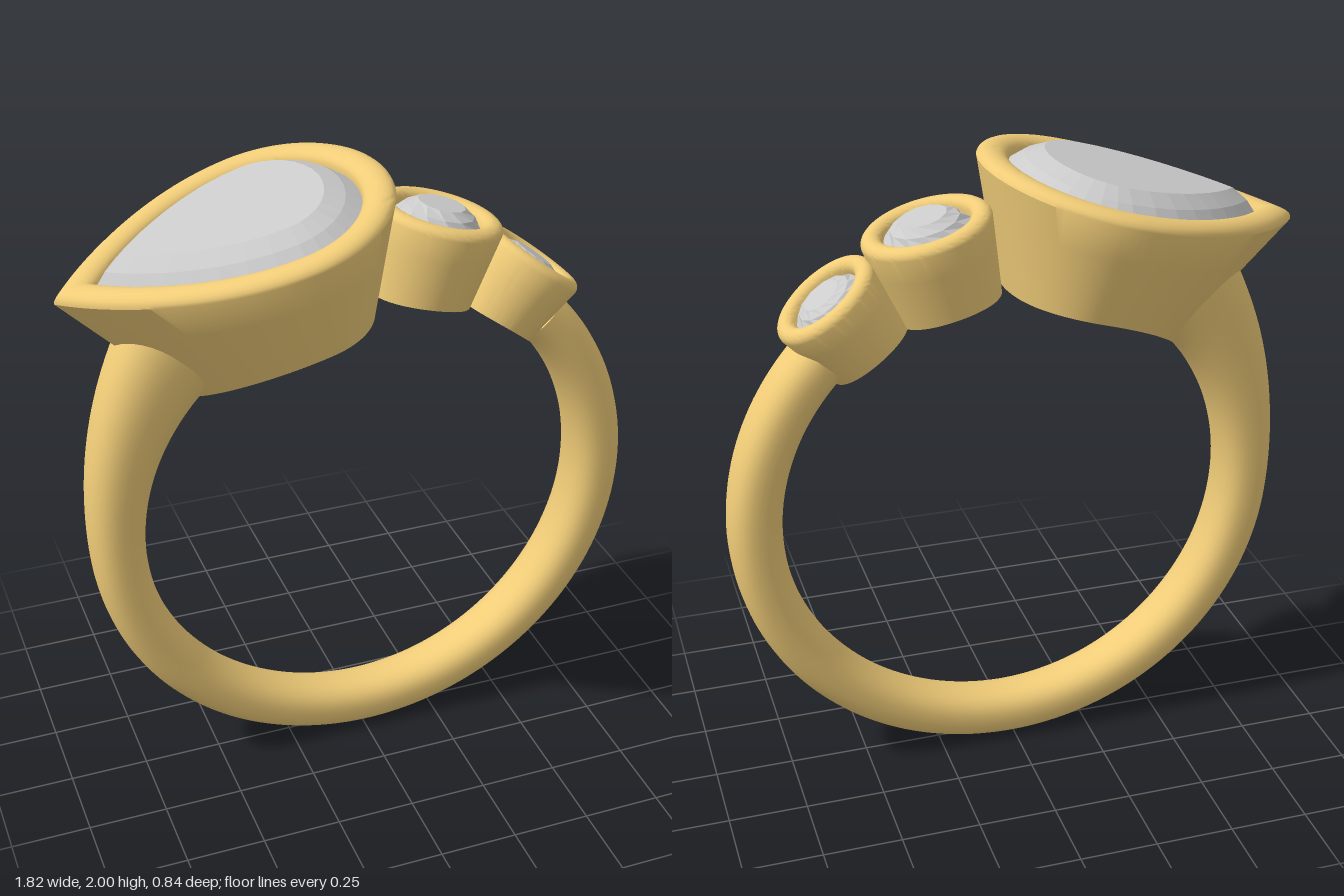
import * as THREE from 'three';
import { toCreasedNormals } from 'three/addons/utils/BufferGeometryUtils.js';

const gold = new THREE.MeshStandardMaterial({ color: 0xf0cc78 });
const stone = new THREE.MeshStandardMaterial({ color: 0xcccccc, flatShading: true });
const CX = 0.015, CY = 0.885, R = 0.72; // finger hole
const rad = THREE.MathUtils.degToRad;

// Skin rows of points; columns always wrap, rows wrap when closed
function skin(rows, closed) {
  const pos = [], m = rows.length, n = rows[0].length;
  const tri = (a, b, c) => {
    if (new THREE.Triangle(a, b, c).getArea() > 1e-9) pos.push(...a.toArray(), ...b.toArray(), ...c.toArray());
  };
  for (let i = 0; i < (closed ? m : m - 1); i++) {
    const lo = rows[i], hi = rows[(i + 1) % m];
    for (let j = 0; j < n; j++) {
      const k = (j + 1) % n;
      tri(lo[j], hi[j], hi[k]);
      tri(lo[j], hi[k], lo[k]);
    }
  }
  const g = new THREE.BufferGeometry();
  g.setAttribute('position', new THREE.Float32BufferAttribute(pos, 3));
  g.computeVertexNormals();
  return g;
}

// Outlines: t runs 0..1; size = [tip reach, round end reach, half width]
function round(t, [, r]) {
  return [r * Math.cos(2 * Math.PI * t), r * Math.sin(2 * Math.PI * t)];
}
function pear(t, size) {
  if (t > 0.5) {
    const [u, z] = pear(1 - t, size);
    return [u, -z];
  }
  const [a, b, w] = size;
  if (t <= 0.25) return [b * Math.cos(2 * Math.PI * t), w * Math.sin(2 * Math.PI * t)];
  const s = (t - 0.25) * 4, q = 1 - s;
  return [
    -a * (1.2 * q * q * s + 2.4 * q * s * s + s * s * s),
    w * (q * q * q + 3 * q * q * s + 1.35 * q * s * s),
  ];
}

// Tilted local frame: u along the setting's face, v out of it
function frame(ox, oy, tilt) {
  const c = Math.cos(tilt), s = Math.sin(tilt);
  return (u, v, z) => new THREE.Vector3(ox + u * c - v * s, oy + u * s + v * c, z);
}

// Hollow tapered cup, trimmed underneath by the finger hole
function bezel({ outline, at, outer, inner, taper, innerTaper, rim }) {
  const N = 96, rows = [];
  const row = f => Array.from({ length: N }, (_, j) => f(j / N));
  const wall = (size, tap, frac) => row(t => {
    const p = d => {
      const [u, z] = outline(t, size.map((s, i) => s - tap[i] * d));
      return at(u, -d, z);
    };
    let lo = 0, hi = 0.6;
    for (let i = 0; i < 30; i++) {
      const mid = (lo + hi) / 2, q = p(mid);
      if (Math.hypot(q.x - CX, q.y - CY) > R) lo = mid; else hi = mid;
    }
    return p(lo * frac);
  });
  for (const f of [1, 0.66, 0.33]) rows.push(wall(outer, taper, f));
  for (let k = 0; k <= 10; k++) {
    const f = (1 - Math.cos(Math.PI * k / 10)) / 2, v = rim * Math.sin(Math.PI * k / 10);
    rows.push(row(t => {
      const [u, z] = outline(t, outer.map((s, i) => s + (inner[i] - s) * f));
      return at(u, v, z);
    }));
  }
  for (const f of [0.33, 0.66, 1]) rows.push(wall(inner, innerTaper, f));
  return toCreasedNormals(skin(rows, true), 0.6);
}

// Faceted stone: layers of [scale sizes, height, column shift], culet to table
function gem(outline, at, n, layers) {
  return skin(layers.map(([size, v, shift = 0]) =>
    Array.from({ length: n }, (_, j) => {
      const [u, z] = outline((j + shift) / n % 1, size);
      return at(u, v, z);
    })), false);
}

// Rounded band, thickening towards the large setting
function band() {
  const rows = [], N = 32, M = 140;
  const section = (deg, k) => {
    const th = rad(deg), t = Math.max(0, (-175 - deg) / 46);
    const low = Math.max(0, -Math.sin(th));
    const h = (0.168 - 0.008 * low + 0.13 * t ** 1.9) / 2;
    const w = 0.105 - 0.016 * low * low + 0.025 * t * t;
    const se = x => Math.sign(x) * Math.abs(x) ** 0.82;
    return Array.from({ length: N }, (_, j) => {
      const c = 2 * Math.PI * j / N;
      const r = R + h + k * h * se(Math.cos(c));
      return new THREE.Vector3(CX + r * Math.cos(th), CY + r * Math.sin(th), -k * w * se(Math.sin(c)));
    });
  };
  rows.push(section(44.5, 0));
  for (let i = 0; i <= M; i++) rows.push(section(44.5 - 274.5 * i / M, 1));
  rows.push(section(-230, 0));
  return toCreasedNormals(skin(rows, false), 0.7);
}

export function createModel() {
  const model = new THREE.Group();
  const add = (name, geometry, material) => {
    const mesh = new THREE.Mesh(geometry, material);
    mesh.name = name;
    model.add(mesh);
  };
  add('band', band(), gold);

  // Large pear setting
  const at = frame(-0.27, 1.89, rad(15));
  add('pearBezel', bezel({
    outline: pear, at, outer: [0.665, 0.364, 0.42], inner: [0.54, 0.265, 0.325],
    taper: [0.59, 0.44, 0.34], innerTaper: [0.59, 0.42, 0.36], rim: 0.032,
  }), gold);
  add('pearStone', gem(pear, at, 32, [
    [[0, 0, 0], -0.3],
    [[0.3, 0.14, 0.18], -0.17],
    [[0.55, 0.272, 0.332], -0.03],
    [[0.55, 0.272, 0.332], -0.01],
    [[0.5, 0.225, 0.285], 0.035],
    [[0.44, 0.17, 0.23], 0.066],
    [[0, 0, 0], 0.066],
  ]), stone);

  // Two round settings stepping down the shoulder: angle, height, radius, opening, table height
  [[14.5, 0.952, 0.2, 0.135, 0.045], [36.7, 0.915, 0.175, 0.115, 0.025]].forEach(([deg, d, r, hole, top], i) => {
    const a = rad(deg), place = frame(CX + d * Math.sin(a), CY + d * Math.cos(a), -a);
    const all = s => [s, s, s];
    add('roundBezel' + (i + 1), bezel({
      outline: round, at: place, outer: all(r), inner: all(hole),
      taper: all(0.14), innerTaper: all(0.22), rim: 0.028,
    }), gold);
    add('roundStone' + (i + 1), gem(round, place, 12, [
      [all(0), -0.13],
      [all(hole + 0.006), -0.025],
      [all(hole + 0.006), -0.01],
      [all(hole * 0.8), top * 0.55, 0.5],
      [all(hole * 0.55), top, 1],
      [all(0), top, 1],
    ]), stone);
  });
  return model;
}
